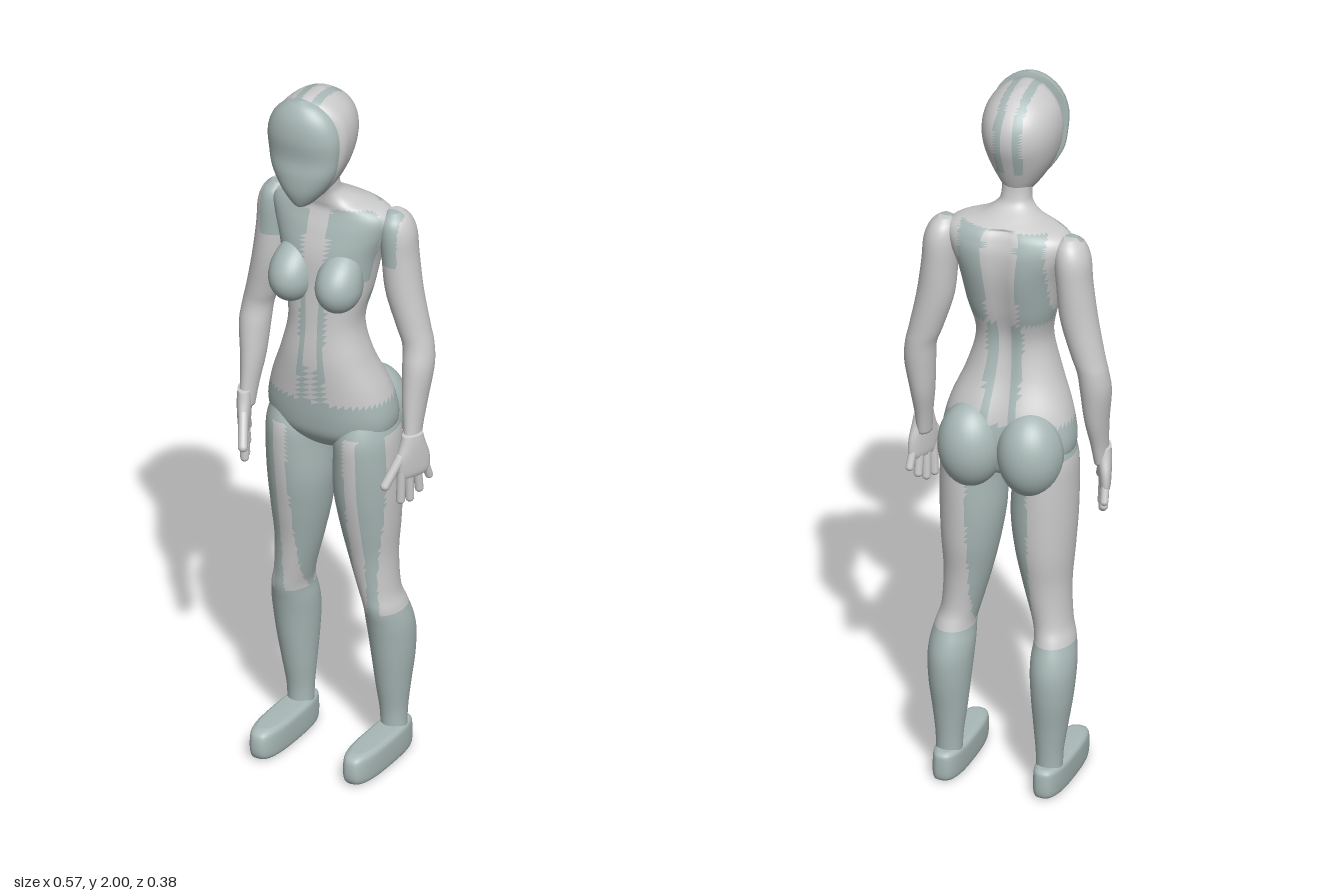
import * as THREE from 'three';

const grey = new THREE.MeshStandardMaterial({ color: 0xcccccc });
const teal = new THREE.MeshStandardMaterial({ color: 0xa8b8b6 });

// smooth interpolation between the rows of a cross-section list
function sampleRows(rows, sub) {
  const out = [];
  for (let i = 0; i < rows.length - 1; i++) {
    const [a, b, c, d] = [-1, 0, 1, 2].map(k => rows[Math.min(Math.max(i + k, 0), rows.length - 1)]);
    for (let s = 0; s < sub; s++) {
      const t = s / sub;
      out.push(b.map((v, k) => v + 0.5 * t * (c[k] - a[k] + t * (2 * a[k] - 5 * v + 4 * c[k] - d[k]
        + t * (3 * (v - c[k]) + d[k] - a[k])))));
    }
  }
  out.push(rows[rows.length - 1]);
  return out;
}

// rows, bottom to top: [y, xMin, xMax, zBack, zFront]; zMid is where the ring is widest
function loft(name, rows, { side = 1, p = 2, zMid, warp, tint = () => false, seg = 48, sub = 6 } = {}) {
  const group = new THREE.Group();
  group.name = name;
  const rings = sampleRows(rows, sub), pos = [], power = v => Math.sign(v) * Math.abs(v) ** (2 / p);
  const put = (x, y, z) => {
    const v = new THREE.Vector3(x, y, z);
    if (warp) warp(v);
    v.x *= side;
    pos.push(v.x, v.y, v.z);
  };
  for (const [y, x0, x1, z0, z1] of rings) {
    const m = zMid === undefined ? (z0 + z1) / 2 : Math.min(Math.max(zMid, z0), z1);
    for (let j = 0; j < seg; j++) {
      const a = j / seg * Math.PI * 2, s = power(Math.sin(a));
      put((x0 + x1) / 2 + (x1 - x0) / 2 * power(Math.cos(a)), y, m + s * (s > 0 ? z1 - m : m - z0));
    }
  }
  const n = rings.length, tip = n * seg, lists = [[], []];
  for (const r of [rings[0], rings[n - 1]]) put((r[1] + r[2]) / 2, r[0], (r[3] + r[4]) / 2);
  const face = (a, b, c) => {
    const mean = k => (pos[a * 3 + k] + pos[b * 3 + k] + pos[c * 3 + k]) / 3;
    lists[tint(Math.abs(mean(0)), mean(1), mean(2)) ? 1 : 0].push(...(side > 0 ? [a, b, c] : [a, c, b]));
  };
  for (let j = 0; j < seg; j++) {
    const k = (j + 1) % seg;
    for (let i = 0; i < n - 1; i++) {
      const a = i * seg + j, b = i * seg + k;
      face(a, a + seg, b);
      face(b, a + seg, b + seg);
    }
    face(tip, j, k);
    face(tip + 1, (n - 1) * seg + k, (n - 1) * seg + j);
  }
  const whole = new THREE.BufferGeometry();
  whole.setAttribute('position', new THREE.Float32BufferAttribute(pos, 3));
  whole.setIndex([...lists[0], ...lists[1]]);
  whole.computeVertexNormals();
  lists.forEach((list, i) => {
    if (!list.length) return;
    const part = whole.clone().setIndex(list);
    const mesh = new THREE.Mesh(part, i ? teal : grey);
    mesh.name = name + (i ? 'Tinted' : 'Plain');
    group.add(mesh);
  });
  return group;
}

// ellipsoid, optionally reshaped by a rule on the unit sphere
function blob(name, center, size, material, rule) {
  const geo = new THREE.SphereGeometry(1, 32, 24), at = geo.attributes.position, v = new THREE.Vector3();
  for (let i = 0; i < at.count; i++) {
    v.fromBufferAttribute(at, i);
    if (rule) rule(v);
    at.setXYZ(i, v.x * size[0], v.y * size[1], v.z * size[2]);
  }
  geo.computeVertexNormals();
  const mesh = new THREE.Mesh(geo, material);
  mesh.position.set(...center);
  mesh.name = name;
  return mesh;
}

// rounded finger between two points
function finger(name, from, to, radius) {
  const a = new THREE.Vector3(...from), b = new THREE.Vector3(...to), dir = b.clone().sub(a);
  const mesh = new THREE.Mesh(new THREE.CapsuleGeometry(radius, dir.length() - radius, 6, 12), grey);
  mesh.position.copy(a).lerp(b, 0.5);
  mesh.quaternion.setFromUnitVectors(new THREE.Vector3(0, 1, 0), dir.normalize());
  mesh.name = name;
  return mesh;
}

const sym = rows => rows.map(([y, x, z0, z1]) => [y, -x, x, z0, z1]);

export function createModel() {
  const model = new THREE.Group();
  model.name = 'figure';

  // torso and neck, with a groove along the spine
  model.add(loft('torso', sym([
    [0.91, 0.025, -0.08, 0.0], [0.93, 0.08, -0.12, 0.04], [0.97, 0.16, -0.135, 0.075], [1.02, 0.18, -0.145, 0.088],
    [1.1, 0.164, -0.13, 0.095], [1.2, 0.125, -0.09, 0.1], [1.3, 0.102, -0.075, 0.092], [1.4, 0.122, -0.1, 0.087],
    [1.5, 0.14, -0.122, 0.083], [1.57, 0.165, -0.125, 0.066], [1.61, 0.172, -0.115, 0.052], [1.635, 0.145, -0.1, 0.045],
    [1.655, 0.08, -0.07, 0.048], [1.68, 0.046, -0.03, 0.053], [1.71, 0.039, -0.018, 0.065], [1.76, 0.04, -0.015, 0.08],
  ]), {
    p: 2.3,
    warp: v => { if (v.z < -0.03 && v.y < 1.64) v.z += 0.014 * Math.exp(-((v.x / 0.03) ** 2)); },
    tint: (x, y, z) => y < 1.08 || (y < 1.64 && (z > 0
      ? (y > 1.44 ? x > 0.035 : x > 0.015 && x < 0.038)
      : (y > 1.36 ? x > 0.045 && x < 0.12 : x > 0.02 && x < 0.05))),
  }));

  // head
  model.add(loft('head', sym([
    [1.7, 0.03, 0.0, 0.09], [1.74, 0.06, -0.02, 0.12], [1.8, 0.09, -0.043, 0.132], [1.86, 0.104, -0.062, 0.135],
    [1.91, 0.102, -0.06, 0.135], [1.95, 0.086, -0.038, 0.135], [1.98, 0.055, 0.0, 0.13], [1.994, 0.02, 0.035, 0.11],
    [1.997, 0.004, 0.05, 0.09],
  ]), { p: 2.2, zMid: 0.08, tint: (x, y) => y > 1.78 && x > 0.016 && x < 0.038 }));

  // face mask
  model.add(loft('faceMask', sym([
    [1.69, 0.006, 0.14, 0.155], [1.7, 0.028, 0.122, 0.168], [1.74, 0.062, 0.112, 0.184], [1.79, 0.09, 0.114, 0.188],
    [1.84, 0.101, 0.118, 0.184], [1.9, 0.104, 0.122, 0.19], [1.95, 0.087, 0.126, 0.184], [1.985, 0.05, 0.13, 0.166],
    [2, 0.008, 0.134, 0.145],
  ]), { p: 2.1, zMid: 0.126, tint: () => true }));

  for (const side of [1, -1]) {
    const half = new THREE.Group();
    half.name = side > 0 ? 'leftSide' : 'rightSide';
    model.add(half);

    // chest and seat
    half.add(blob('breast', [side * 0.07, 1.43, 0.068], [0.061, 0.072, 0.072], teal, v => {
      if (v.y > 0) { v.z -= 0.55 * v.y * v.y; v.y *= 1.4; }
    }));
    half.add(blob('buttock', [side * 0.083, 1.0, -0.098], [0.088, 0.12, 0.093], teal));

    // leg, leaning slightly to one side at the ankle
    const lean = v => { v.x += side * 0.01 * Math.max(0, 1 - v.y / 0.5); };
    half.add(loft('leg', [
      [0.05, 0.105, 0.175, -0.12, -0.05], [0.12, 0.103, 0.176, -0.125, -0.048], [0.2, 0.095, 0.186, -0.136, -0.034],
      [0.28, 0.088, 0.197, -0.15, -0.02], [0.35, 0.083, 0.202, -0.155, -0.008], [0.4, 0.082, 0.2, -0.147, 0.003],
      [0.45, 0.085, 0.19, -0.13, 0.016], [0.5, 0.074, 0.178, -0.116, 0.02], [0.6, 0.047, 0.174, -0.12, 0.032],
      [0.7, 0.025, 0.181, -0.134, 0.052], [0.8, 0.012, 0.186, -0.14, 0.07], [0.9, 0.016, 0.186, -0.142, 0.08],
      [0.97, 0.02, 0.182, -0.14, 0.08], [1.03, 0.04, 0.165, -0.12, 0.06],
    ], {
      side, warp: lean,
      tint: (x, y, z) => y < 0.44 || y > 0.98 || x < 0.085 || (z > 0.01 && x > 0.125),
    }));

    // foot
    half.add(loft('foot', [
      [0, 0.112, 0.168, -0.13, 0.13], [0.006, 0.1, 0.18, -0.145, 0.147], [0.025, 0.097, 0.183, -0.15, 0.155],
      [0.06, 0.097, 0.183, -0.15, 0.153], [0.077, 0.1, 0.18, -0.147, 0.143], [0.085, 0.112, 0.168, -0.135, 0.12],
    ], { side, p: 2.8, warp: lean, tint: () => true, sub: 3 }));

    // arm
    half.add(loft('arm', [
      [0.96, 0.228, 0.268, -0.035, 0.025], [1.02, 0.222, 0.268, -0.05, 0.018], [1.1, 0.211, 0.275, -0.075, 0.012],
      [1.19, 0.204, 0.286, -0.092, 0.003], [1.25, 0.198, 0.281, -0.098, -0.008], [1.3, 0.18, 0.27, -0.1, -0.006],
      [1.4, 0.15, 0.25, -0.103, 0.003], [1.5, 0.14, 0.236, -0.106, 0.006], [1.57, 0.135, 0.23, -0.105, 0.008],
      [1.61, 0.14, 0.215, -0.092, 0.0], [1.632, 0.158, 0.192, -0.068, -0.025],
    ], { side, tint: (x, y, z) => y > 1.48 && z > -0.045 && x < 0.205 }));

    // hand, turned so the thumb points forward and inward
    const hand = new THREE.Group();
    hand.name = 'hand';
    hand.position.set(side * 0.252, 0, 0);
    hand.rotation.y = -side * 0.42;
    hand.add(loft('palm', [
      [0.885, -0.011, 0.011, -0.045, 0.04], [0.9, -0.015, 0.016, -0.054, 0.047], [0.94, -0.018, 0.019, -0.052, 0.052],
      [0.98, -0.02, 0.02, -0.038, 0.038], [1.01, -0.018, 0.018, -0.03, 0.03],
    ], { side, p: 2.3, seg: 24, sub: 4 }));
    const fingers = [['thumb', 0.955, 0.035, 0.872, 0.09, 0.013], ['indexFinger', 0.91, 0.036, 0.815, 0.036, 0.012],
      ['middleFinger', 0.91, 0.011, 0.813, 0.006, 0.012], ['ringFinger', 0.91, -0.015, 0.832, -0.025, 0.012],
      ['littleFinger', 0.91, -0.04, 0.862, -0.058, 0.011]];
    for (const [name, y0, z0, y1, z1, r] of fingers) {
      hand.add(finger(name, [0, y0, z0], [-side * 0.004, y1, z1], r));
    }
    half.add(hand);
  }
  return model;
}
